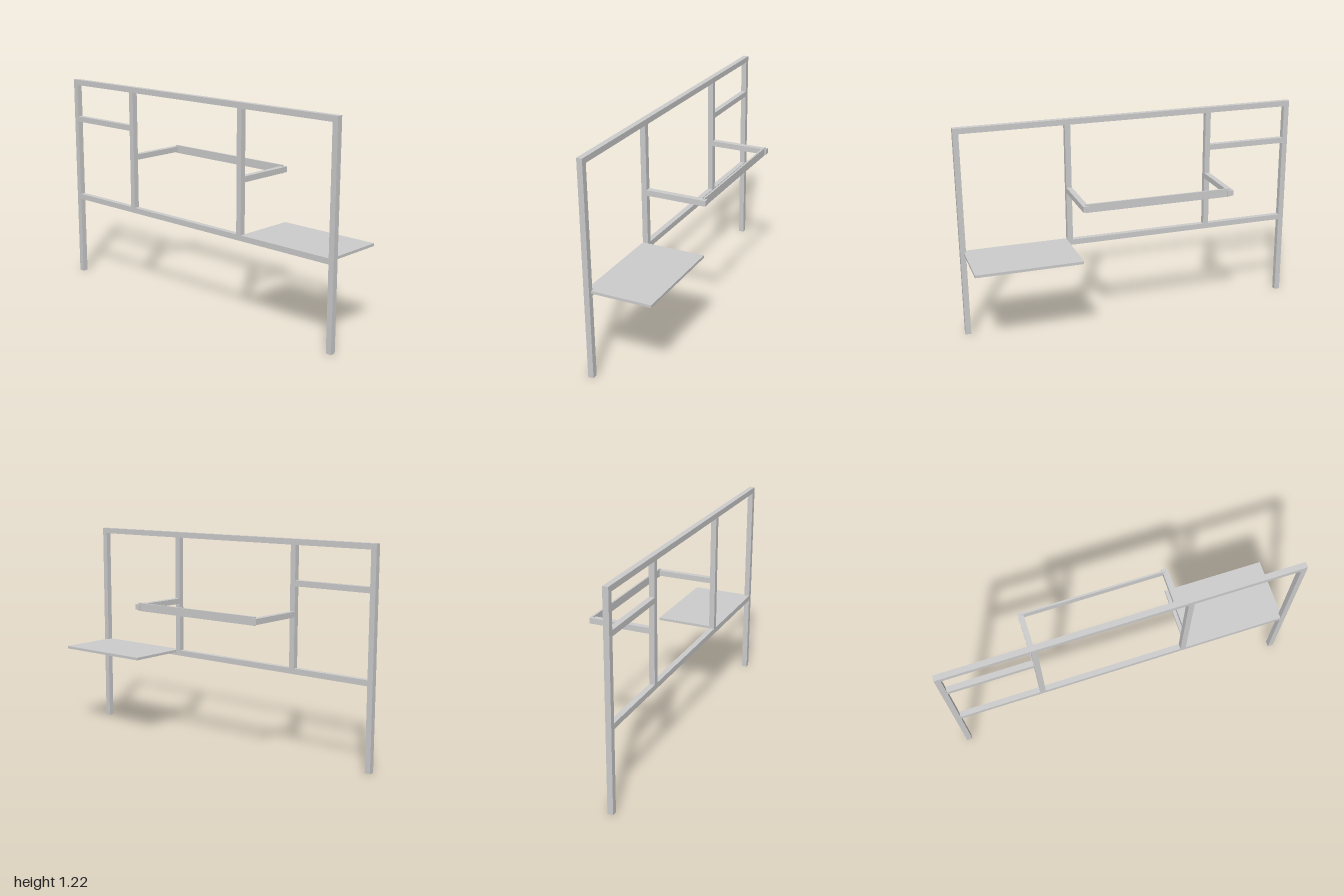
import * as THREE from 'three';

export function createModel() {
  const group = new THREE.Group();
  const material = new THREE.MeshStandardMaterial({ color: 0xcccccc, flatShading: true });

  // Box given by its extents along each axis
  function bar(name, [x0, x1], [y0, y1], [z0, z1]) {
    const mesh = new THREE.Mesh(new THREE.BoxGeometry(x1 - x0, y1 - y0, z1 - z0), material);
    mesh.position.set((x0 + x1) / 2, (y0 + y1) / 2, (z0 + z1) / 2);
    mesh.name = name;
    group.add(mesh);
  }

  const depth = [0.158, 0.19]; // depth of the upright frame
  const left = [0.348, 0.38], right = [-0.497, -0.465]; // inner uprights

  // Outer frame
  bar('leftPost', [0.968, 1], [0, 1.188], depth);
  bar('rightPost', [-1, -0.968], [0, 1.188], depth);
  bar('topRail', [-1, 1], [1.188, 1.22], depth);
  bar('lowerRail', [-0.968, 0.968], [0.473, 0.505], depth);

  // Inner uprights, each with an arm reaching back
  for (const [side, x] of [['left', left], ['right', right]]) {
    bar(side + 'Upright', x, [0.505, 1.188], depth);
    bar(side + 'Arm', x, [0.791, 0.823], [-0.19, 0.158]);
  }

  // Short rail, rear crossbar and shelf
  bar('shortRail', [-0.968, -0.497], [0.963, 0.995], depth);
  bar('rearCrossbar', [-0.481, 0.364], [0.784, 0.831], [-0.18, -0.169]);
  bar('shelf', [0.38, 0.98], [0.49, 0.505], [-0.182, 0.158]);

  return group;
}
